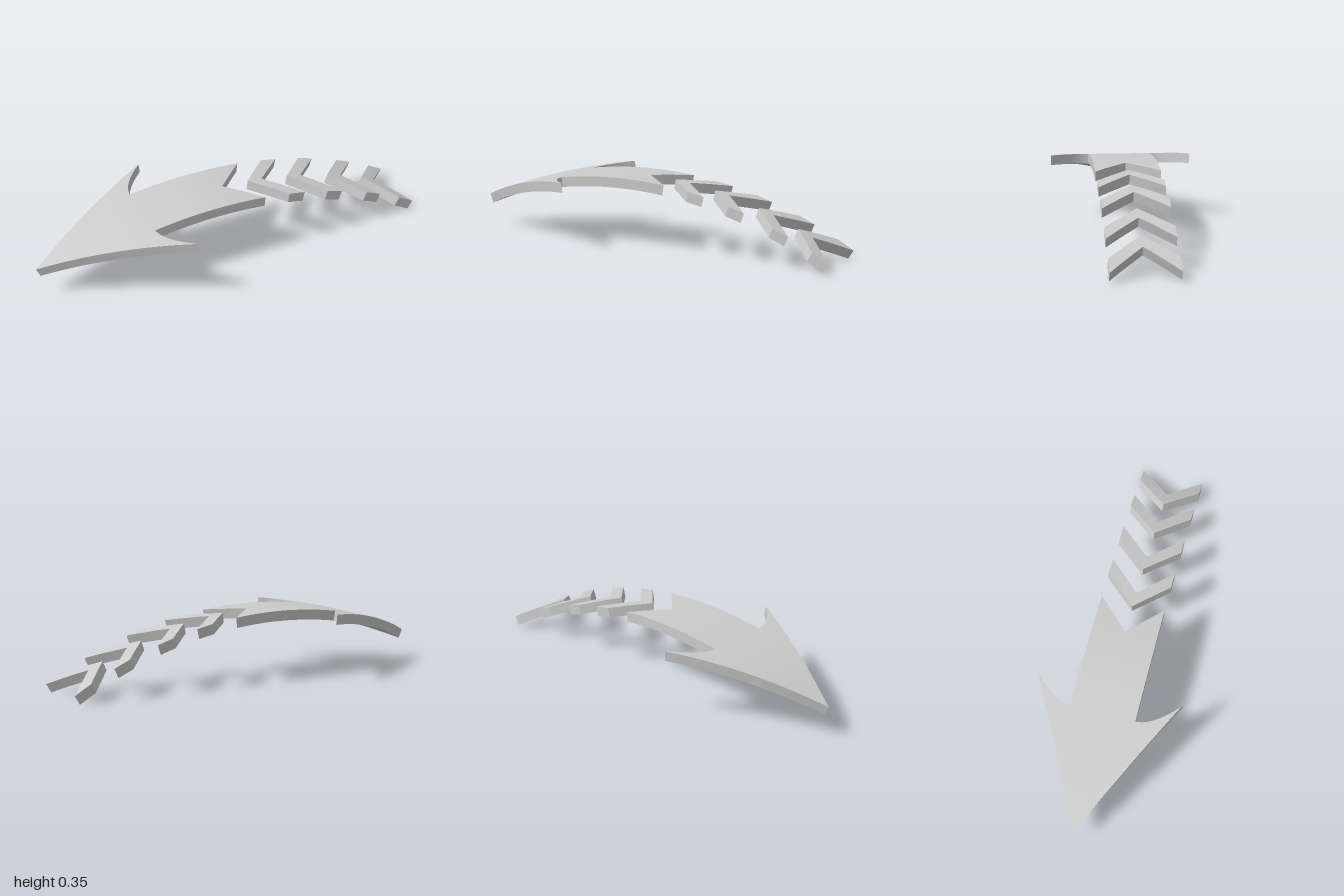
import * as THREE from 'three';
import { toCreasedNormals } from 'three/addons/utils/BufferGeometryUtils.js';

// Arc the whole arrow is bent along
const R = 2.18, CX = -0.11, TOP = 0.348, THICK = 0.05;
const HALF = 0.16;   // half width of shaft and chevrons

function bend(x, depth) {
  const a = Math.asin((x - CX) / R), r = R - depth;
  return [CX + r * Math.sin(a), TOP - R + r * Math.cos(a)];
}

// Curved slab from rows [z, frontX, backX] for z >= 0, mirrored to -z
function slab(name, halfRows, nx, material) {
  const rows = [...halfRows.slice(1).reverse().map(([z, f, b]) => [-z, f, b]), ...halfRows];
  const n = rows.length - 1;
  const box = new THREE.BoxGeometry(1, 1, 1, nx, 1, n);
  const p = box.attributes.position;
  for (let i = 0; i < p.count; i++) {
    const [z, front, back] = rows[Math.round((p.getZ(i) + 0.5) * n)];
    const x = front + (back - front) * (p.getX(i) + 0.5);
    const [bx, by] = bend(x, p.getY(i) > 0 ? 0 : THICK);
    p.setXYZ(i, bx, by, z);
  }
  // Drop the collapsed triangles
  const flat = box.toNonIndexed().attributes.position;
  const keep = [], t = new THREE.Triangle();
  for (let i = 0; i < flat.count; i += 3) {
    t.setFromAttributeAndIndices(flat, i, i + 1, i + 2);
    if (t.getArea() > 1e-7) for (const v of [t.a, t.b, t.c]) keep.push(v.x, v.y, v.z);
  }
  const geo = new THREE.BufferGeometry();
  geo.setAttribute('position', new THREE.Float32BufferAttribute(keep, 3));
  const mesh = new THREE.Mesh(toCreasedNormals(geo, 0.5), material);
  mesh.name = name;
  return mesh;
}

export function createModel() {
  const group = new THREE.Group();
  group.name = 'curvedArrow';
  const material = new THREE.MeshStandardMaterial({ color: 0xcccccc });

  // Arrow head and notched shaft
  const tip = z => -1 + 1.9 * z;
  const rows = [];
  for (let i = 0; i <= 8; i++) {            // shaft with V notch
    const z = HALF * i / 8;
    rows.push([z, tip(z), -0.02 + z]);
  }
  for (let i = 1; i <= 12; i++) {           // straight shaft side
    rows.push([HALF, tip(HALF), 0.14 - 0.585 * i / 12]);
  }
  for (let i = 1; i <= 12; i++) {           // swept barb
    const t = i / 12, z = HALF + 0.2 * t;
    rows.push([z, tip(z), -0.445 + 0.129 * Math.pow(t, 1.8)]);
  }
  group.add(slab('arrowHeadAndShaft', rows, 32, material));

  // Trailing chevrons: front apex, back apex, front end, back end
  [
    [0.12, 0.197, 0.273, 0.357],
    [0.34, 0.417, 0.488, 0.57],
    [0.574, 0.651, 0.718, 0.798],
    [0.78, 0.854, 0.918, 1.0],
  ].forEach(([f0, b0, f1, b1], k) => {
    const arm = [];
    for (let i = 0; i <= 4; i++) {
      const t = i / 4;
      arm.push([HALF * t, f0 + (f1 - f0) * t, b0 + (b1 - b0) * t]);
    }
    group.add(slab('chevron' + (k + 1), arm, 3, material));
  });
  return group;
}
